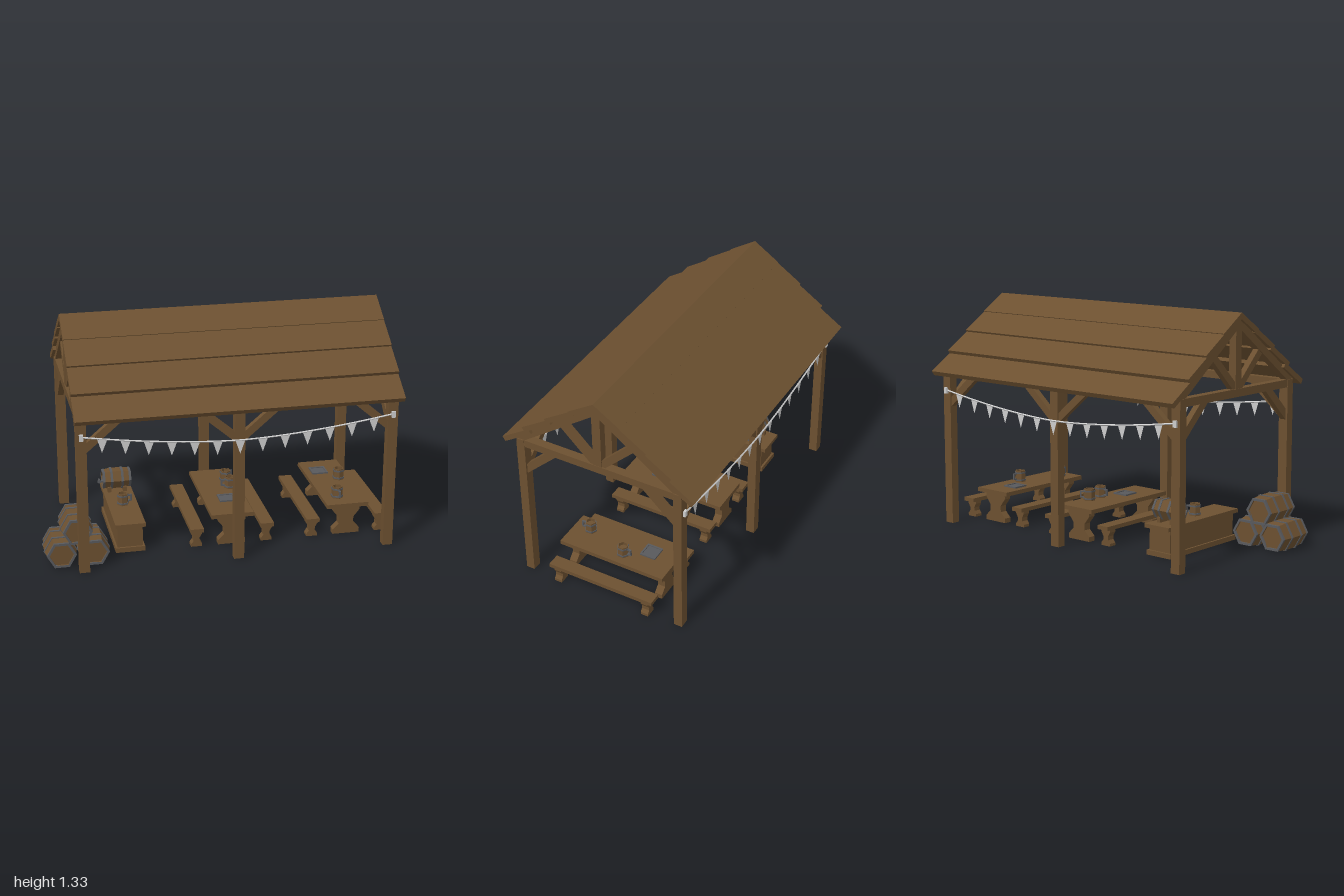
import * as THREE from 'three';

const mat = (name, color) => new THREE.MeshStandardMaterial({ name, color, flatShading: true });

export function createModel() {
  const wood = mat('wood', 0x6c5030);
  const metal = mat('metal', 0x58595c);
  const cloth = mat('cloth', 0xcccccc);
  cloth.side = THREE.DoubleSide;
  const root = new THREE.Group();
  root.name = 'marketShelter';

  const add = (parent, name, geo, m, x = 0, y = 0, z = 0) => {
    const mesh = new THREE.Mesh(geo, m);
    mesh.name = name;
    mesh.position.set(x, y, z);
    parent.add(mesh);
    return mesh;
  };
  const group = (parent, name, x = 0, y = 0, z = 0) => {
    const g = new THREE.Group();
    g.name = name;
    g.position.set(x, y, z);
    parent.add(g);
    return g;
  };
  const box = (parent, name, w, h, d, x, y, z, m = wood) =>
    add(parent, name, new THREE.BoxGeometry(w, h, d), m, x, y, z);
  // Square timber running from a to b
  const beam = (parent, name, a, b, w, h) => {
    const p = new THREE.Vector3(...a), q = new THREE.Vector3(...b);
    const c = p.clone().add(q).multiplyScalar(0.5);
    const mesh = new THREE.Mesh(new THREE.BoxGeometry(w, h, p.distanceTo(q)), wood);
    mesh.name = name;
    mesh.position.copy(c);
    mesh.lookAt(q);
    parent.add(mesh);
  };
  // Flat outline extruded symmetrically along z
  const slab = (pts, depth) => new THREE.ExtrudeGeometry(
    new THREE.Shape(pts.map(p => new THREE.Vector2(...p))), { depth, bevelEnabled: false }
  ).translate(0, 0, -depth / 2);
  const lathe = (pts) => new THREE.LatheGeometry(pts.map(p => new THREE.Vector2(...p)), 6, Math.PI / 6);
  const ring = (rIn, rOut, h) => lathe([[rIn, -h / 2], [rOut, -h / 2], [rOut, h / 2], [rIn, h / 2], [rIn, -h / 2]]);

  // ---- Timber frame ----
  const frame = group(root, 'frame', 0.0775);
  const PX = 0.867, PZ = 0.476;
  for (const s of [-1, 1]) {
    for (const x of [-PX, 0, PX]) {
      box(frame, 'post', 0.057, 0.9, 0.05, x, 0.45, s * PZ);
      for (const d of [-1, 1]) {
        if (x * d > 0) continue;
        beam(frame, 'longBrace', [x + d * 0.015, 0.72, s * PZ], [x + d * 0.225, 0.9, s * PZ], 0.035, 0.042);
      }
    }
    box(frame, 'wallPlate', PX * 2 + 0.057, 0.042, 0.045, 0, 0.904, s * PZ);

    // Gable truss
    const tx = s * PX;
    box(frame, 'tieBeam', 0.05, 0.044, 1.0, tx, 0.903, 0);
    box(frame, 'kingPost', 0.045, 0.36, 0.05, tx, 1.09, 0);
    for (const d of [-1, 1]) {
      beam(frame, 'rafter', [tx, 1.28, 0], [tx, 0.915, d * 0.5], 0.045, 0.043);
      beam(frame, 'strut', [tx, 0.93, d * 0.02], [tx, 1.125, d * 0.22], 0.035, 0.042);
      beam(frame, 'crossBrace', [tx, 0.715, d * 0.465], [tx, 0.895, d * 0.275], 0.035, 0.045);
    }
  }

  // ---- Roof: four overlapping boards on each slope ----
  const roof = group(root, 'roof', 0.0775);
  const SLOPE = 0.645, T = 0.03, nz = 0.542, ny = 0.84;
  const lower = [[0.155, 1.235], [0.305, 1.133], [0.45, 1.025], [0.58, 0.915]];
  lower.forEach(([z, y], i) => {
    const zt = i ? z - 0.17 : 0, yt = y + (z - zt) * SLOPE;
    const top = i ? [zt - T * nz, yt - T * ny] : [0, yt - T / ny];
    const geo = slab([[zt, yt], top, [z - T * nz, y - T * ny], [z, y]], 1.815).rotateY(-Math.PI / 2);
    for (const s of [0, 1]) add(roof, 'roofBoard', geo, wood).rotation.y = s * Math.PI;
  });

  // ---- Bunting along both long sides ----
  for (const s of [-1, 1]) {
    const bunting = group(root, 'bunting', 0.0775, 0, s * 0.506);
    const ropeY = x => 0.715 + 0.085 * Math.pow(Math.abs(x) / PX, 1.7);
    const pts = [];
    for (let i = 0; i <= 14; i++) {
      const x = -PX + (i / 14) * 2 * PX;
      pts.push(new THREE.Vector3(x, ropeY(x), 0));
    }
    add(bunting, 'rope', new THREE.TubeGeometry(new THREE.CatmullRomCurve3(pts), 28, 0.005, 4), cloth);
    for (const d of [-1, 1]) box(bunting, 'ropeKnot', 0.022, 0.036, 0.016, d * PX, 0.797, 0, cloth);
    for (let i = -6; i <= 6; i++) {
      const x = i * 0.1262, y = ropeY(x), tilt = i * 0.006;
      const flag = new THREE.Shape([[-0.028, -tilt * 0.3], [0, -0.08], [0.028, tilt * 0.3]].map(p => new THREE.Vector2(...p)));
      add(bunting, 'pennant', new THREE.ShapeGeometry(flag), cloth, x, y, 0);
    }
  }

  // ---- Tables and benches ----
  // Waisted trestle outline of half width w and height h
  const trestle = (w, h) => slab([
    [-w, 0], [w, 0], [w, h * 0.16], [w * 0.55, h * 0.36], [w * 0.55, h * 0.58], [w, h * 0.84], [w, h],
    [-w, h], [-w, h * 0.84], [-w * 0.55, h * 0.58], [-w * 0.55, h * 0.36], [-w, h * 0.16]], 0.045);
  const trestleTable = (name, x, topW, h, t, legW) => {
    const g = group(root, name, x);
    box(g, name + 'Top', topW, t, 0.653, 0, h - t / 2, 0);
    for (const s of [-1, 1]) add(g, name + 'Leg', trestle(legW, h - t), wood, 0, 0, s * 0.278);
  };
  for (const x of [0.079, 0.757]) {
    trestleTable('table', x, 0.244, 0.196, 0.024, 0.079);
    for (const s of [-1, 1]) trestleTable('bench', x + s * 0.204, 0.077, 0.118, 0.023, 0.032);
  }

  // ---- Serving counter ----
  const counter = group(root, 'counter', -0.503);
  box(counter, 'counterBody', 0.145, 0.16, 0.56, 0, 0.08, 0);
  box(counter, 'counterPlinth', 0.168, 0.028, 0.585, 0, 0.014, 0);
  box(counter, 'counterTop', 0.172, 0.022, 0.62, 0, 0.167, 0);

  // ---- Six-sided barrels, built upright ----
  const barrel = (parent, name, r, len) => {
    const g = group(parent, name), h = len / 2, e = r * 0.87, inner = r * 0.75;
    add(g, 'staves', lathe([[0, -h + 0.01], [inner, -h + 0.01], [inner, -h], [e, -h], [r * 0.98, -h * 0.4],
      [r * 0.98, h * 0.4], [e, h], [inner, h], [inner, h - 0.01], [0, h - 0.01]]), wood);
    for (const s of [-1, 1]) {
      add(g, 'rimHoop', ring(inner, e + 0.004, 0.014), metal, 0, s * (h - 0.006), 0);
      add(g, 'bellyHoop', ring(r * 0.9, r + 0.002, 0.014), metal, 0, s * h * 0.38, 0);
    }
    return g;
  };
  for (const [x, y] of [[-0.906, 0.081], [-0.723, 0.081], [-0.814, 0.213]]) {
    const b = barrel(root, 'barrel', 0.091, 0.232);
    b.position.set(x, y, 0.313);
    b.rotation.x = Math.PI / 2;
  }

  // Tapped keg on the counter
  const keg = barrel(root, 'keg', 0.062, 0.165);
  keg.position.set(-0.507, 0.25, -0.2);
  keg.rotation.set(Math.PI / 2, Math.PI / 2, 0, 'YXZ');
  for (const s of [-1, 1]) box(root, 'kegCradle', 0.022, 0.035, 0.09, -0.507 + s * 0.045, 0.19, -0.2);
  box(root, 'tapSpout', 0.035, 0.011, 0.011, -0.6, 0.232, -0.2, metal);
  box(root, 'tapHandle', 0.008, 0.026, 0.012, -0.608, 0.236, -0.2, metal);

  // ---- Mugs: hollow, hooped, with a square handle ----
  const mug = (x, y, z, turn, k = 1) => {
    const g = group(root, 'mug', x, y, z);
    g.rotation.y = turn;
    g.scale.setScalar(k);
    add(g, 'mugBody', lathe([[0, 0], [0.034, 0], [0.031, 0.068], [0.025, 0.068], [0.025, 0.05], [0, 0.05]]), wood);
    add(g, 'mugHoop', ring(0.028, 0.037, 0.009), metal, 0, 0.012, 0);
    add(g, 'mugHoop', ring(0.027, 0.035, 0.009), metal, 0, 0.055, 0);
    for (const y2 of [0.018, 0.05]) box(g, 'mugHandleArm', 0.022, 0.008, 0.01, 0.039, y2, 0, metal);
    box(g, 'mugHandleGrip', 0.008, 0.04, 0.01, 0.05, 0.034, 0, metal);
  };
  mug(0.145, 0.196, -0.045, Math.PI);
  mug(0.14, 0.196, -0.145, 0.6);
  mug(0.807, 0.196, -0.04, 1.5);
  mug(0.722, 0.196, 0.22, -1.5);
  mug(-0.503, 0.178, 0.025, 0.2);

  // ---- Square plates ----
  for (const [x, z] of [[0.09, 0.112], [0.72, -0.17]]) {
    const plate = group(root, 'plate', x, 0.196, z);
    box(plate, 'plateBase', 0.085, 0.005, 0.085, 0, 0.0025, 0, metal);
    for (const s of [-1, 1]) {
      box(plate, 'plateRim', 0.095, 0.009, 0.01, 0, 0.0055, s * 0.0425, metal);
      box(plate, 'plateRim', 0.01, 0.009, 0.095, s * 0.0425, 0.0055, 0, metal);
    }
  }
  return root;
}
